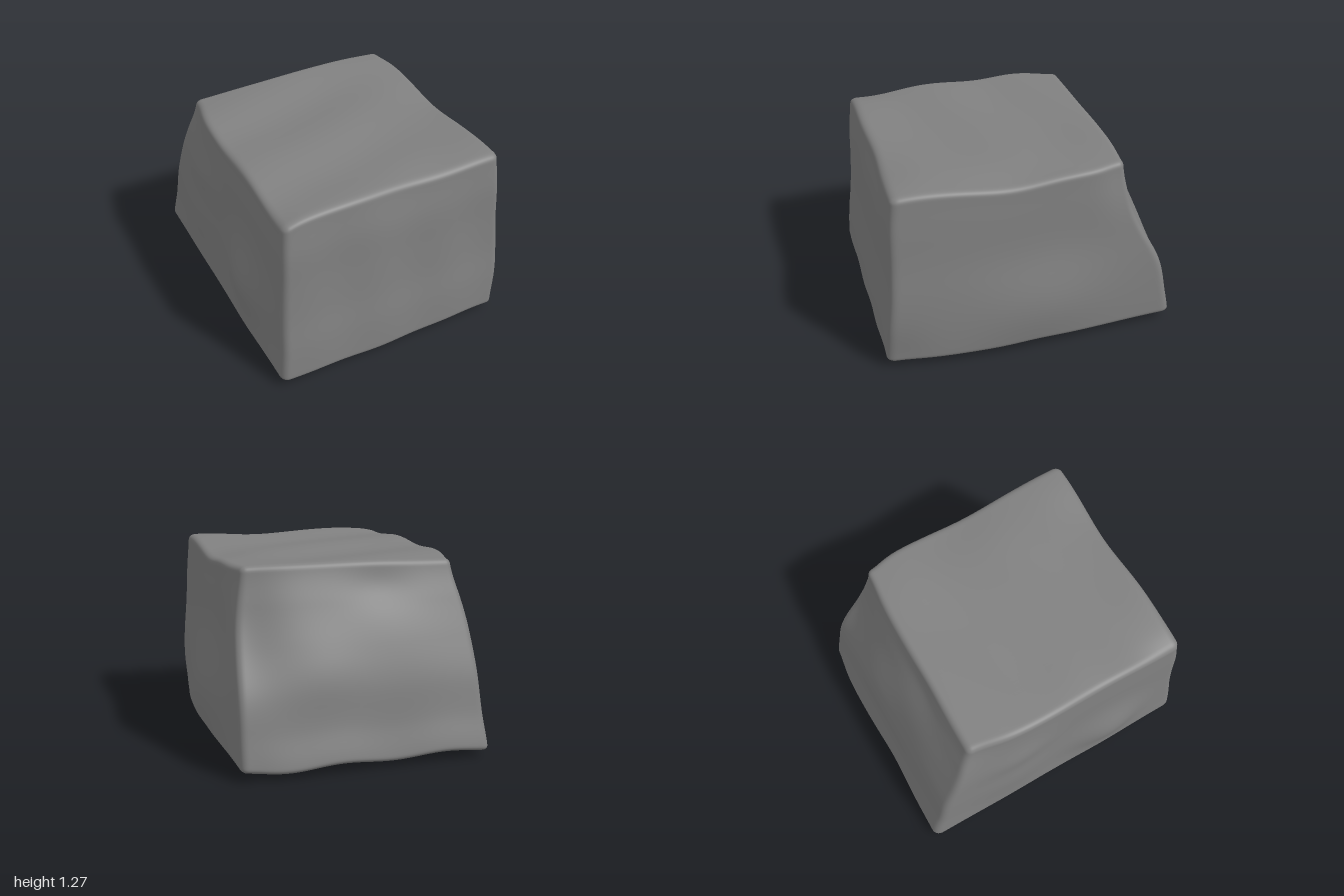
import * as THREE from 'three';
import { mergeVertices } from 'three/addons/utils/BufferGeometryUtils.js';

const { clamp, lerp, smoothstep } = THREE.MathUtils;

// Smooth profile through evenly spaced values, t from 0 to 1
function profile(values) {
  const curve = new THREE.SplineCurve(values.map((v, i) => new THREE.Vector2(i, v)));
  return (t) => curve.getPoint(clamp(t, 0, 1)).y;
}

// Soft round bump centred on (a0, b0)
const bump = (a, b, a0, b0, ra, rb, height) =>
  height * Math.exp(-(((a - a0) / ra) ** 2) - ((b - b0) / rb) ** 2);

// Face outlines by height, bottom to top
const frontZ = profile([1.002, 0.988, 0.96, 0.943, 0.933, 0.908]);
const backZ = profile([1.005, 0.935, 0.875, 0.785, 0.695, 0.615]);
const leftX = profile([0.815, 0.81, 0.8, 0.782, 0.77, 0.755]);
const rightX = profile([0.832, 0.812, 0.797, 0.782, 0.77, 0.752]);

// Unit cube with rounded edges, finer towards the edges
function roundedCube(segments, radius) {
  const geo = new THREE.BoxGeometry(2, 2, 2, segments, segments, segments);
  geo.deleteAttribute('normal');
  geo.deleteAttribute('uv');
  const merged = mergeVertices(geo);
  const pos = merged.attributes.position;
  const p = new THREE.Vector3(), inner = new THREE.Vector3();
  const tighten = (v) => 0.25 * v + 0.75 * Math.sin(v * Math.PI / 2);
  for (let i = 0; i < pos.count; i++) {
    p.fromBufferAttribute(pos, i);
    p.set(tighten(p.x), tighten(p.y), tighten(p.z));
    inner.copy(p).clampScalar(radius - 1, 1 - radius);
    p.sub(inner).normalize().multiplyScalar(radius).add(inner);
    pos.setXYZ(i, p.x, p.y, p.z);
  }
  return merged;
}

function rockGeometry() {
  const geo = roundedCube(60, 0.06);
  const pos = geo.attributes.position;
  for (let i = 0; i < pos.count; i++) {
    const u = pos.getX(i), v = pos.getY(i), w = pos.getZ(i);
    const t = (v + 1) / 2;

    // Side faces: tapered, with worn bulges and cut corners
    const left = leftX(t) + bump(t, w, 0.25, 0, 0.25, 0.5, 0.055)
      + bump(t, w, 0.02, 0.3, 0.2, 0.5, 0.015)
      - bump(t, w, 0, 1, 0.2, 0.25, 0.04)
      - bump(t, w, 1, -1, 0.25, 0.25, 0.045);
    const right = rightX(t) + bump(t, w, 0.34, 0.42, 0.2, 0.25, 0.065)
      + bump(t, w, 0.35, -0.4, 0.25, 0.3, 0.03)
      + bump(t, w, 0.66, -0.4, 0.12, 0.3, 0.025)
      - bump(t, w, 1, -1, 0.25, 0.35, 0.06);
    const x = u * (u > 0 ? left : right);

    // Front nearly upright, back leaning forward with lumps and hollows
    const front = frontZ(t) + 0.007 * Math.sin(10 * u + 3) * Math.sin(3 * t + 0.4)
      - bump(u, t, 0.15, 1, 0.3, 0.2, 0.02);
    const back = backZ(t) + bump(u, t, -0.3, 0.6, 0.5, 0.25, 0.03)
      + bump(u, t, 0.35, 0.5, 0.35, 0.2, 0.025)
      - bump(u, t, -0.25, 0.87, 0.3, 0.1, 0.02)
      - bump(u, t, 1, 0.7, 0.3, 0.28, 0.075)
      - bump(u, t, 1, 0, 0.25, 0.2, 0.04)
      - bump(u, t, -0.2, 0, 0.3, 0.2, 0.015);
    const z = w * (w > 0 ? front : back);

    // Top with slanting ridges, fading to the left, and an uneven rim
    const top = 1.257
      + 0.011 * Math.cos(9 * z + 3 * x - 1.3) * (1 - 0.8 * smoothstep(x, 0, 0.7))
      + bump(x, z, -0.42, 0.8, 0.28, 0.2, 0.012)
      + bump(x, z, 0.65, 0.8, 0.25, 0.25, 0.02)
      + bump(x, z, 0.5, -0.5, 0.3, 0.22, 0.012)
      + bump(x, z, -0.65, 0.15, 0.25, 0.2, 0.01)
      - bump(x, z, -0.8, 0.9, 0.12, 0.3, 0.03)
      - bump(x, z, 0.8, 0.13, 0.25, 0.28, 0.037)
      - bump(x, z, 0.2, 0.9, 0.25, 0.2, 0.012);

    // Underside sagging towards the front right, rippled at the back
    const bottom = 0.05 - bump(x, z, -0.1, 0.42, 0.38, 0.6, 0.045)
      - bump(x, z, -0.75, 0.25, 0.25, 0.4, 0.02)
      + bump(x, z, 0.85, 0, 0.2, 0.2, 0.012)
      + 0.012 * Math.sin(9 * x) * smoothstep(-w, 0.4, 1);
    pos.setXYZ(i, x, lerp(bottom, top, t), z);
  }

  // Rest on the ground, centred
  geo.computeBoundingBox();
  const c = geo.boundingBox.getCenter(new THREE.Vector3());
  geo.translate(-c.x, -geo.boundingBox.min.y, -c.z);
  geo.computeVertexNormals();
  return geo;
}

export function createModel() {
  const group = new THREE.Group();
  group.name = 'stoneBlock';
  const stone = new THREE.Mesh(rockGeometry(), new THREE.MeshStandardMaterial({ color: 0x808080 }));
  stone.name = 'stone';
  group.add(stone);
  return group;
}
